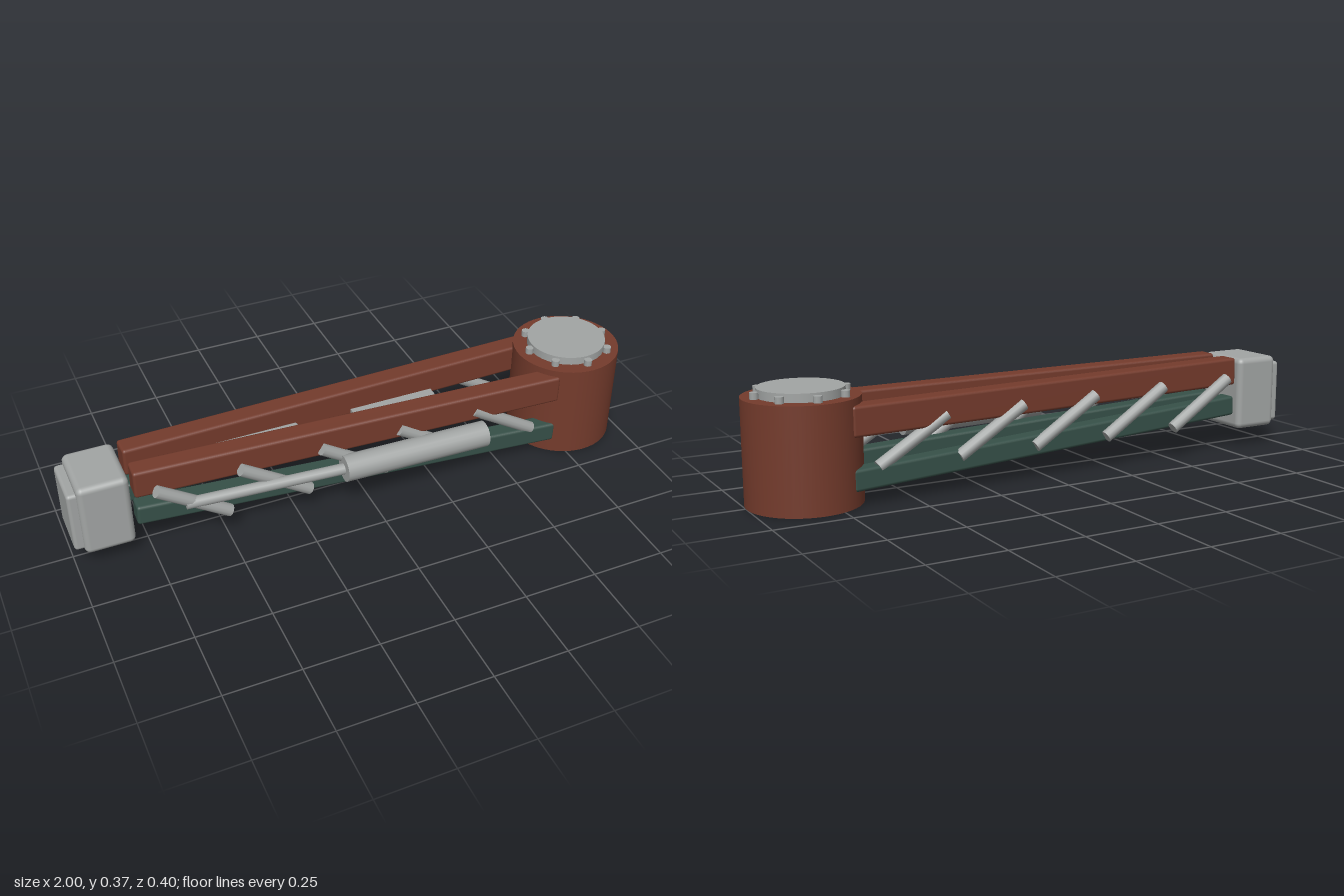
import * as THREE from 'three';
import { RoundedBoxGeometry } from 'three/addons/geometries/RoundedBoxGeometry.js';

export function createModel() {
  const root = new THREE.Group();
  root.name = 'craneArm';
  const mat = (name, color) => {
    const m = new THREE.MeshStandardMaterial({ color });
    m.name = name;
    return m;
  };
  const rust = mat('rust red', 0x743b2c);
  const green = mat('dark green', 0x365048);
  const steel = mat('steel grey', 0xa2a5a4);
  const ZC = -0.012; // centre plane of the arm

  const add = (name, geometry, material, x, y, z) => {
    const m = new THREE.Mesh(geometry, material);
    m.name = name;
    m.position.set(x, y, z);
    root.add(m);
    return m;
  };

  // Aligns a part's own axis with the line from a to b
  const span = (name, a, b, axis, makeGeometry, material) => {
    const p = new THREE.Vector3(...a), q = new THREE.Vector3(...b);
    const d = q.clone().sub(p);
    const c = p.add(q).multiplyScalar(0.5);
    const m = add(name, makeGeometry(d.length()), material, c.x, c.y, c.z);
    m.quaternion.setFromUnitVectors(axis, d.normalize());
  };
  const X = new THREE.Vector3(1, 0, 0), Y = new THREE.Vector3(0, 1, 0);
  const rod = (name, a, b, r, sides) =>
    span(name, a, b, Y, (l) => new THREE.CylinderGeometry(r, r, l, sides), steel);
  const beam = (name, a, b, h, w, material) =>
    span(name, a, b, X, (l) => new RoundedBoxGeometry(l, h, w, 2, 0.01), material);

  // Pivot drum with its cover and bolt ring
  add('pivotDrum', new THREE.CylinderGeometry(0.185, 0.185, 0.34, 48), rust, 0.815, 0.17, ZC);
  add('pivotCover', new THREE.CylinderGeometry(0.136, 0.136, 0.03, 32), steel, 0.815, 0.353, ZC);
  for (let i = 0; i < 8; i++) {
    const t = (i * Math.PI) / 4;
    add('coverBolt', new THREE.CylinderGeometry(0.014, 0.014, 0.022, 10), steel,
      0.815 + 0.147 * Math.cos(t), 0.35, ZC + 0.147 * Math.sin(t));
  }

  // Mirrored beams and diagonal braces
  for (const s of [1, -1]) {
    const z0 = ZC + s * 0.062, z1 = ZC + s * 0.117;
    beam('upperBeam', [-0.79, 0.286, z0], [0.71, 0.268, z1], 0.098, 0.072, rust);
    beam('lowerBeam', [-0.79, 0.16, z0], [0.71, 0.083, z1], 0.07, 0.064, green);
    for (let i = 0; i < 5; i++) {
      const x = -0.73 + i * 0.2785, z = ZC + s * 0.127;
      rod('diagonalBrace', [x, 0.27 - i * 0.003, z], [x + 0.235, 0.115, z], 0.021, 12);
    }
  }

  // Hydraulic ram along the front side
  rod('ramRod', [-0.64, 0.193, 0.118], [-0.08, 0.187, 0.151], 0.019, 16);
  rod('ramCylinder', [-0.11, 0.19, 0.153], [0.41, 0.179, 0.155], 0.045, 20);

  // Spacers between the upper beams
  add('spacer', new RoundedBoxGeometry(0.29, 0.065, 0.052, 2, 0.008), steel, -0.345, 0.249, ZC);
  add('spacer', new THREE.BoxGeometry(0.3, 0.065, 0.046), steel, 0.145, 0.244, ZC);

  // End block and its face plate
  add('endBlock', new RoundedBoxGeometry(0.166, 0.26, 0.212, 3, 0.02), steel, -0.887, 0.2, ZC);
  add('endPlate', new RoundedBoxGeometry(0.05, 0.22, 0.178, 3, 0.012), steel, -0.975, 0.195, ZC);
  return root;
}
